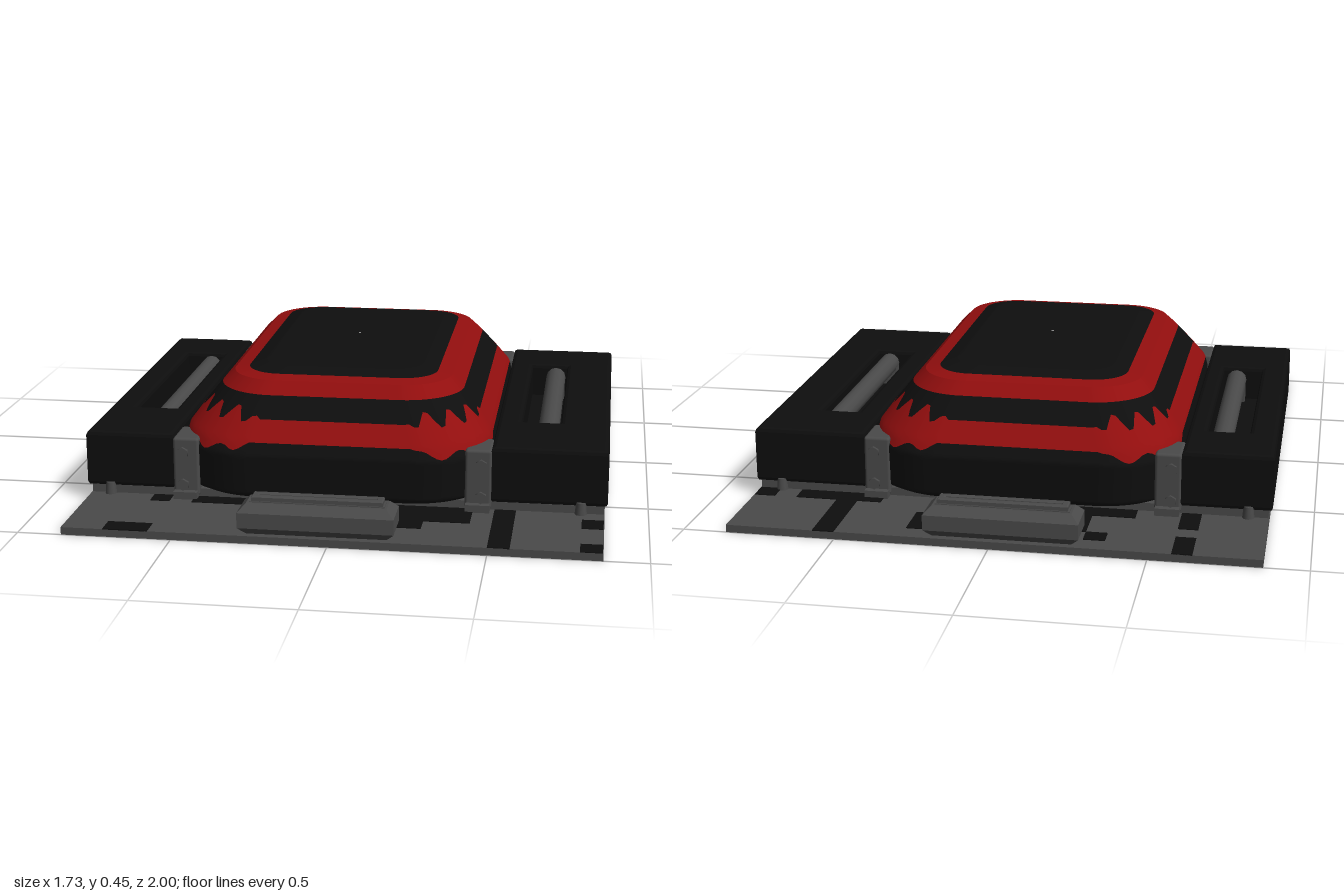
import * as THREE from 'three';
import { RoundedBoxGeometry } from 'three/addons/geometries/RoundedBoxGeometry.js';

const mat = (name, color, side = THREE.FrontSide) => {
  const m = new THREE.MeshStandardMaterial({ color, side });
  m.name = name;
  return m;
};
const CX = -0.0375; // the body sits slightly off centre

// Body profile: height, half width, half depth, corner radius
const PROFILE = [
  [0.05, 0.5, 0.695, 0.25], [0.065, 0.52, 0.717, 0.25], [0.2, 0.5225, 0.722, 0.25],
  [0.24, 0.515, 0.7, 0.25], [0.3, 0.47, 0.652, 0.23], [0.37, 0.413, 0.592, 0.2],
  [0.41, 0.372, 0.552, 0.17], [0.42, 0.322, 0.502, 0.12], [0.435, 0.27, 0.44, 0.1],
  [0.444, 0.1, 0.2, 0.06], [0.446, 0.004, 0.004, 0.002],
];
function sectionAt(y) {
  let i = 0;
  while (i < PROFILE.length - 2 && y > PROFILE[i + 1][0]) i++;
  const a = PROFILE[i], b = PROFILE[i + 1];
  const t = THREE.MathUtils.clamp((y - a[0]) / (b[0] - a[0]), 0, 1);
  return a.map((v, k) => v + (b[k] - v) * t);
}

// Point on the rounded-rectangle section; each corner has K + 1 points
const K = 24, RING = 4 * (K + 1);
function bodyPoint(j, y) {
  const [, w, d, r] = sectionAt(y);
  const q = Math.floor(j / (K + 1)), a = (q + (j % (K + 1)) / K) * Math.PI / 2;
  const sx = q === 0 || q === 3 ? 1 : -1, sz = q < 2 ? 1 : -1;
  return [CX + sx * (w - r) + r * Math.cos(a), y, sz * (d - r) + r * Math.sin(a)];
}

// One coloured band of the body between two height functions
function band(low, high, rows) {
  const pos = [], index = [];
  for (let i = 0; i <= rows; i++)
    for (let j = 0; j < RING; j++)
      pos.push(...bodyPoint(j, THREE.MathUtils.lerp(low(j), high(j), i / rows)));
  for (let i = 0; i < rows; i++)
    for (let j = 0; j < RING; j++) {
      const n = (j + 1) % RING, a = i * RING + j, c = i * RING + n;
      index.push(a, a + RING, c, a + RING, c + RING, c);
    }
  const g = new THREE.BufferGeometry();
  g.setAttribute('position', new THREE.Float32BufferAttribute(pos, 3));
  g.setIndex(index);
  g.computeVertexNormals();
  return g;
}

// Rectangle path in x and z
function rect(path, x0, x1, z0, z1) {
  path.moveTo(x0, -z0).lineTo(x1, -z0).lineTo(x1, -z1).lineTo(x0, -z1).closePath();
  return path;
}

export function createModel() {
  const root = new THREE.Group();
  root.name = 'armouredHatch';
  const grey = mat('gunmetalGrey', 0x4a4a4a);
  const black = mat('matteBlack', 0x0e0e0e);
  const red = mat('deepRed', 0x920e0e);
  const add = (name, geo, m, x = 0, y = 0, z = 0, parent = root) => {
    const mesh = new THREE.Mesh(geo, m);
    mesh.name = name;
    mesh.position.set(x, y, z);
    parent.add(mesh);
    return mesh;
  };
  const box = (name, m, x0, x1, y0, y1, z0, z1) =>
    add(name, new THREE.BoxGeometry(x1 - x0, y1 - y0, z1 - z0), m, (x0 + x1) / 2, (y0 + y1) / 2, (z0 + z1) / 2);

  // Base plate and riser
  box('basePlate', grey, -0.857, 0.857, 0, 0.025, -1, 1);
  box('riser', grey, -0.855, 0.855, 0.025, 0.052, -0.645, 0.645);

  // Blocky camouflage patches on the plate: x0, x1, z0, z1
  [
    [-0.64, -0.575, -1, -0.86], [-0.36, -0.29, -0.93, -0.865], [-0.64, -0.575, -0.79, -0.65],
    [-0.29, 0.21, -0.865, -0.65], [0.21, 0.28, -0.93, -0.79], [0.5, 0.57, -1, -0.65],
    [0.42, 0.5, -0.72, -0.65], [0.57, 0.71, -0.72, -0.65], [0.785, 0.855, -0.72, -0.65],
    [-0.43, -0.29, -0.72, -0.65],
    [-0.64, -0.575, 0.65, 0.71], [-0.5, -0.29, 0.65, 0.71], [-0.29, 0.28, 0.65, 0.86],
    [0.28, 0.43, 0.65, 0.79], [0.5, 0.57, 0.65, 1], [0.785, 0.855, 0.71, 0.79],
    [0.785, 0.855, 0.93, 1], [-0.72, -0.575, 0.93, 1],
  ].forEach(([x0, x1, z0, z1]) => box('camouflagePatch', black, x0, x1, 0.024, 0.0275, z0, z1));

  // Domed body in bands; paint edges ripple at the corners
  const flat = y => () => y;
  const phase = j => (j % (K + 1)) / K;
  const corner = j => Math.min(1, 2.2 * Math.sin(Math.PI * phase(j)));
  const paintLow = j => 0.238 - corner(j) * (0.022 + 0.012 * Math.sin(phase(j) * 19));
  const paintHigh = j => 0.303 + corner(j) * (0.012 + 0.024 * Math.sin(phase(j) * 25 + 1));
  const body = new THREE.Group();
  body.name = 'domedBody';
  root.add(body);
  [
    ['lowerBody', flat(0.05), paintLow, 24, black],
    ['lowerRedBand', paintLow, paintHigh, 8, red],
    ['blackBand', paintHigh, flat(0.37), 4, black],
    ['upperRedSlope', flat(0.37), flat(0.41), 2, red],
    ['upperRedRim', flat(0.41), flat(0.42), 2, red],
    ['topPanel', flat(0.42), flat(0.446), 26, black],
  ].forEach(([name, lo, hi, rows, m]) => add(name, band(lo, hi, rows), m, 0, 0, 0, body));

  // Side housings with a recess and a grab bar
  [
    { x0: -0.868, x1: -0.57, r0: -0.775, r1: -0.635, bar: -0.682 },
    { x0: 0.487, x1: 0.866, r0: 0.57, r1: 0.7, bar: 0.658 },
  ].forEach(({ x0, x1, r0, r1, bar }) => {
    const b = 0.014;
    const shape = rect(new THREE.Shape(), x0 + b, x1 - b, 0.653 - b, -0.655 + b);
    shape.holes.push(rect(new THREE.Path(), r0 - b, r1 + b, -0.42 - b, 0.34 + b));
    const g = new THREE.ExtrudeGeometry(shape, {
      depth: 0.19 - 2 * b, bevelThickness: b, bevelSize: b, bevelSegments: 2,
    });
    g.rotateX(-Math.PI / 2);
    add('sideHousing', g, black, 0, 0.05 + b, 0);
    box('recessFloor', black, r0 - 0.01, r1 + 0.01, 0.06, 0.12, -0.43, 0.35);
    const rod = new THREE.CylinderGeometry(0.036, 0.036, 0.75, 12);
    rod.rotateX(Math.PI / 2);
    add('grabBar', rod, grey, bar, 0.195, -0.04);
    for (const z of [-0.395, 0.315]) box('grabBarFoot', grey, bar - 0.034, bar + 0.034, 0.11, 0.2, z - 0.02, z + 0.02);
  });

  for (const sz of [1, -1]) {
    // Corner brackets with bolts
    for (const x of [-0.5275, 0.445]) {
      add('cornerBracket', new RoundedBoxGeometry(0.088, 0.2, 0.14, 2, 0.01), grey, x, 0.13, sz * 0.59);
      for (const y of [0.07, 0.18]) {
        const bolt = new THREE.CylinderGeometry(0.02, 0.02, 0.014, 6);
        bolt.rotateX(Math.PI / 2);
        add('bracketBolt', bolt, grey, x + 0.01 * Math.sign(x), y, sz * 0.664);
      }
      box('bracketFoot', grey, x - 0.04, x + 0.04, 0.025, 0.05, sz * 0.66 - 0.025, sz * 0.66 + 0.025);
    }
    // Small feet under the housings
    for (const x of [-0.79, 0.78])
      add('housingFoot', new THREE.CylinderGeometry(0.016, 0.02, 0.04, 8), grey, x, 0.045, sz * 0.65);

    // Chamfered end block with a raised slotted rail
    const c = 0.025, zc = sz * 0.932;
    const block = new THREE.ExtrudeGeometry(rect(new THREE.Shape(), -0.248 + c, 0.248 - c, 0.068 - c, -0.068 + c), {
      depth: 0.1 - 2 * c, bevelThickness: c, bevelSize: c, bevelSegments: 1,
    });
    block.rotateX(-Math.PI / 2);
    add('endBlock', block, grey, CX, 0.025 + c, zc);
    const rail = rect(new THREE.Shape(), -0.205, 0.205, 0.022, -0.022);
    rail.holes.push(rect(new THREE.Path(), -0.19, 0.19, -0.01, 0.01));
    const railGeo = new THREE.ExtrudeGeometry(rail, {
      depth: 0.02, bevelThickness: 0.004, bevelSize: 0.004, bevelSegments: 1,
    });
    railGeo.rotateX(-Math.PI / 2);
    add('endRail', railGeo, grey, CX, 0.12, zc);
    box('endRailBase', grey, CX - 0.215, CX + 0.215, 0.115, 0.128, zc - 0.03, zc + 0.03);
  }
  return root;
}
